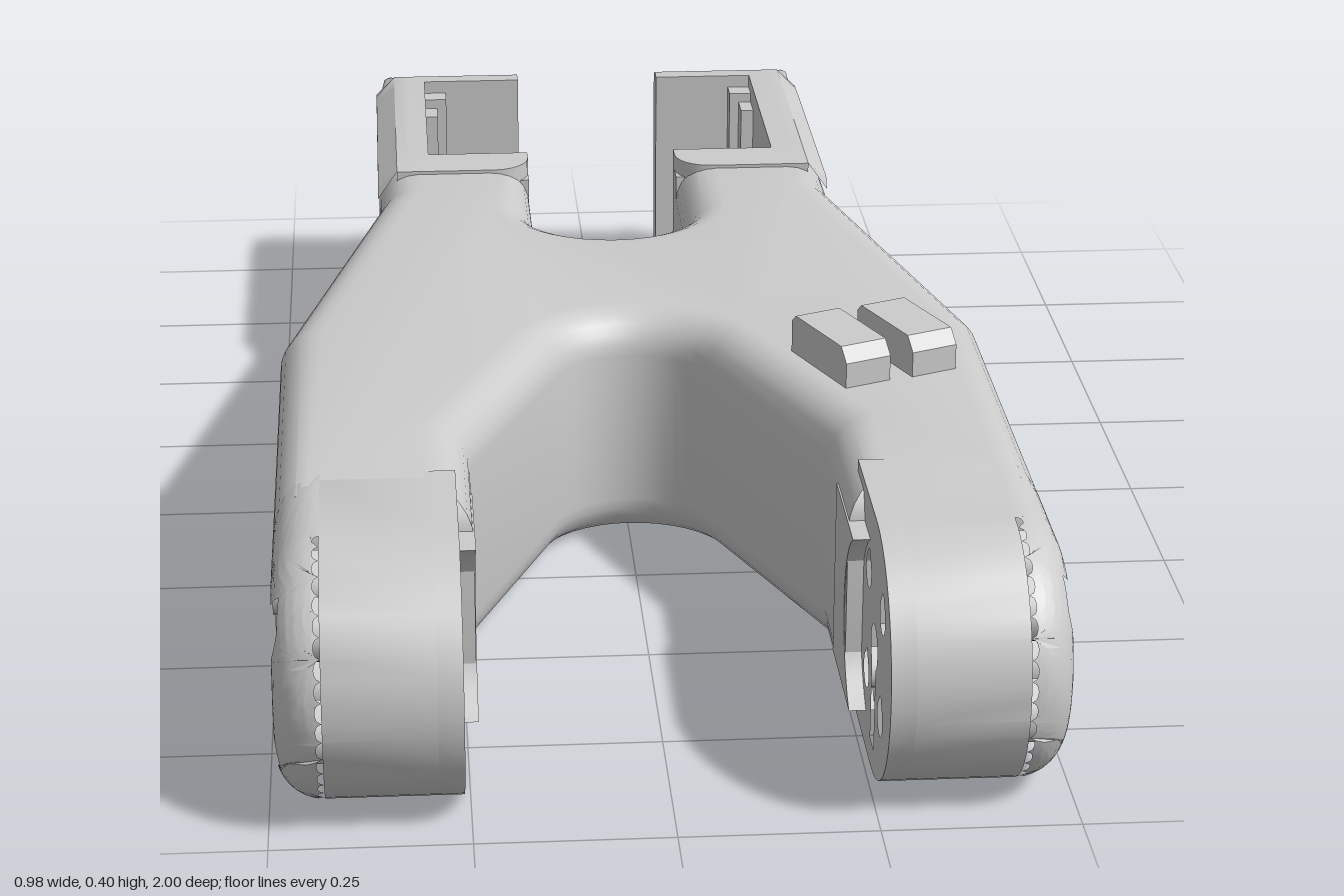
import * as THREE from 'three';
import { toCreasedNormals } from 'three/addons/utils/BufferGeometryUtils.js';

const H = 0.34;        // body height
const BOX_H = 0.345;   // rear housing height
const EDGE = 0.06;     // body edge rounding
const BOX_EDGE = 0.03; // housing edge rounding

const material = new THREE.MeshStandardMaterial({ color: 0xcccccc });

function add(parent, name, geometry) {
  const mesh = new THREE.Mesh(toCreasedNormals(geometry, 0.55), material);
  mesh.name = name;
  parent.add(mesh);
  return mesh;
}

function box(x0, x1, y0, y1, z0, z1) {
  return new THREE.BoxGeometry(x1 - x0, y1 - y0, z1 - z0)
    .translate((x0 + x1) / 2, (y0 + y1) / 2, (z0 + z1) / 2);
}

function arc(cx, cy, r, a0, a1, n) {
  return Array.from({ length: n + 1 }, (_, i) => {
    const a = a0 + (a1 - a0) * i / n;
    return [cx + r * Math.cos(a), cy + r * Math.sin(a)];
  });
}

// Round hole with a pointed roof
function teardrop(z, y, r) {
  return [...arc(z, y, r, Math.PI * 0.75, Math.PI * 2.25, 14), [z, y + r * 1.4]];
}

function makeShape(points, holes = [], flip = 1) {
  const vec = ([a, b]) => new THREE.Vector2(a * flip, b);
  const shape = new THREE.Shape(points.map(vec));
  shape.holes = holes.map(h => new THREE.Path(h.map(vec)));
  return shape;
}

// Plan outline (x, z) raised from y0 to y1 with rounded edges b
function planSolid(points, y0, y1, b = 0, holes = []) {
  return new THREE.ExtrudeGeometry(makeShape(points, holes), {
    depth: y1 - y0 - 2 * b, bevelEnabled: b > 0, bevelSize: b,
    bevelThickness: b, bevelOffset: -b, bevelSegments: 6,
  }).rotateX(Math.PI / 2).translate(0, y1 - b, 0);
}

// Side outline (z, y) extruded from x0 to x1
function sideSolid(points, x0, x1, holes = []) {
  return new THREE.ExtrudeGeometry(makeShape(points, holes, -1), { depth: x1 - x0, bevelEnabled: false })
    .rotateY(Math.PI / 2).translate(x0, 0, 0);
}

// Rounds the outer (x1) face of a side solid; edgeDistance(z, y) is 0 at its rim
function roundOuterFace(geometry, x1, r, edgeDistance) {
  const src = (geometry.index ? geometry.toNonIndexed() : geometry).attributes.position;
  const out = [];
  const emit = v => {
    let x = v.x;
    if (Math.abs(x - x1) < 1e-5) {
      const k = Math.max(0, r - Math.max(0, edgeDistance(v.z, v.y)));
      x -= r - Math.sqrt(Math.max(0, r * r - k * k));
    }
    out.push(x, v.y, v.z);
  };
  const split = (a, b, c, level) => {
    if (level === 0) return [a, b, c].forEach(emit);
    const ab = a.clone().lerp(b, 0.5), bc = b.clone().lerp(c, 0.5), ca = c.clone().lerp(a, 0.5);
    [[a, ab, ca], [ab, b, bc], [ca, bc, c], [ab, bc, ca]].forEach(t => split(...t, level - 1));
  };
  for (let i = 0; i < src.count; i += 3) {
    const t = [0, 1, 2].map(j => new THREE.Vector3().fromBufferAttribute(src, i + j));
    split(...t, t.every(v => Math.abs(v.x - x1) < 1e-5) ? 3 : 0);
  }
  const g = new THREE.BufferGeometry();
  g.setAttribute('position', new THREE.Float32BufferAttribute(out, 3));
  g.computeVertexNormals();
  return g;
}

function forkBody() {
  const half = [
    ...arc(0, -0.355, 0.115, Math.PI / 2, 0, 10),      // rear U slot
    [0.115, -0.57], [0.348, -0.57], [0.348, -0.44],
    [0.49, 0.14], [0.49, 0.72], [0.237, 0.72], [0.237, 0.5],
    ...arc(0, 0.235, 0.115, -0.4, -Math.PI / 2, 8),    // crotch
  ];
  const mirrored = half.slice(1, -1).reverse().map(([x, z]) => [-x, z]);
  return planSolid([...half, ...mirrored], 0, H, EDGE);
}

// Rounded tip of one arm, with screw holes and a horn slot inside
function armEnd(parent) {
  const cz = 0.83, cy = H / 2;
  const outline = [[0.64, 0], ...arc(cz, cy, cy, -Math.PI / 2, Math.PI / 2, 20), [0.64, H]];
  const holes = r => [0.77, 0.905].flatMap(z => [0.105, 0.245].map(y => teardrop(z, y, r)));
  const rim = (z, y) => z > cz ? cy - Math.hypot(z - cz, y - cy) : Math.min(y, H - y);
  add(parent, 'armTip', roundOuterFace(sideSolid(outline, 0.29, 0.49, holes(0.035)), 0.49, EDGE, rim));

  const slot = [[0.822, 0.035], [0.854, 0.035], ...arc(0.838, cy, 0.03, -1, Math.PI + 1, 14)];
  add(parent, 'hornPlate', sideSolid(outline, 0.258, 0.29, [...holes(0.023), slot]));

  // Raised pad with a circular clearance
  const a = Math.asin(0.12 / 0.135);
  const pad = [[0.6, 0.05], ...arc(0.838, cy, 0.135, Math.PI + a, Math.PI - a, 12), [0.6, 0.29]];
  add(parent, 'innerPad', sideSolid(pad, 0.236, 0.27));
}

// One side of the rear housing
function housingSide(parent) {
  const c = 0.025;
  const outline = [
    [-0.5, 0], [-0.5, BOX_H],
    ...arc(-1 + c, BOX_H - c, c, Math.PI / 2, Math.PI, 5),
    ...arc(-1 + c, c, c, Math.PI, Math.PI * 1.5, 5),
  ];
  const rim = (z, y) => {
    const dz = z + 1, dy = Math.min(y, BOX_H - y);
    return dz < c && dy < c ? c - Math.hypot(c - dz, c - dy) : Math.min(dz, dy);
  };
  const holes = r => [-0.605, -0.895].map(z => teardrop(z, 0.105, r));
  add(parent, 'housingWall', roundOuterFace(sideSolid(outline, 0.3, 0.35, holes(0.028)), 0.35, BOX_EDGE, rim));
  add(parent, 'housingLiner', sideSolid(outline, 0.27, 0.3, holes(0.015)));

  // Back wall beside the cable opening
  const back = [[-0.95, 0], [-0.95, BOX_H], ...outline.slice(2)];
  add(parent, 'backWall', sideSolid(back, 0.115, 0.27));

  // Front wall, flaring towards the slot
  const front = [[0.27, -0.5], [0.17, -0.5], ...arc(0.17, -0.555, 0.055, Math.PI / 2, Math.PI, 6),
    [0.115, -0.58], [0.27, -0.58]];
  add(parent, 'frontWall', planSolid(front, H - 0.03, BOX_H));
  add(parent, 'frontWallBase', box(0.115, 0.27, 0, H - 0.02, -0.58, -0.52));

  // Guide ribs on the inner wall
  add(parent, 'rearRib', box(0.235, 0.275, 0, 0.325, -0.96, -0.915));
  add(parent, 'rearRibStep', box(0.25, 0.275, 0, 0.31, -0.92, -0.87));
  add(parent, 'frontRib', box(0.235, 0.275, 0, 0.325, -0.595, -0.57));
  add(parent, 'frontRibStep', box(0.25, 0.275, 0, 0.31, -0.64, -0.63));
}

// Floor with a grid of diamond vents
function ventedFloor() {
  const outline = [[-0.28, -0.5], [0.28, -0.5], [0.28, -0.96], [0.115, -0.96],
    [0.115, -1], [-0.115, -1], [-0.115, -0.96], [-0.28, -0.96]];
  const vents = [];
  const d = 0.035;
  for (const x of [-0.167, -0.053, 0.061, 0.175])
    for (const z of [-0.91, -0.8, -0.69, -0.58])
      vents.push([[x + d, z], [x, z + d], [x - d, z], [x, z - d]]);
  return planSolid(outline, 0, 0.03, 0, vents);
}

export function createModel() {
  const model = new THREE.Group();
  model.name = 'forkedBracket';
  add(model, 'forkBody', forkBody());
  add(model, 'ventedFloor', ventedFloor());

  for (const side of [1, -1]) {
    const half = new THREE.Group();
    half.name = side > 0 ? 'leftSide' : 'rightSide';
    half.scale.x = side;
    armEnd(half);
    housingSide(half);
    model.add(half);
  }

  // Pair of small clips on top of the left arm
  const clip = [[-0.075, -0.02], [0.075, -0.02], [0.075, 0.035], [0.06, 0.055], [-0.065, 0.055], [-0.075, 0.045]];
  for (const [x, z] of [[0.273, 0.32], [0.367, 0.286]]) {
    const mesh = add(model, 'cableClip', sideSolid(clip, -0.034, 0.034));
    mesh.position.set(x, H, z);
    mesh.rotation.y = 0.4;
  }
  return model;
}
